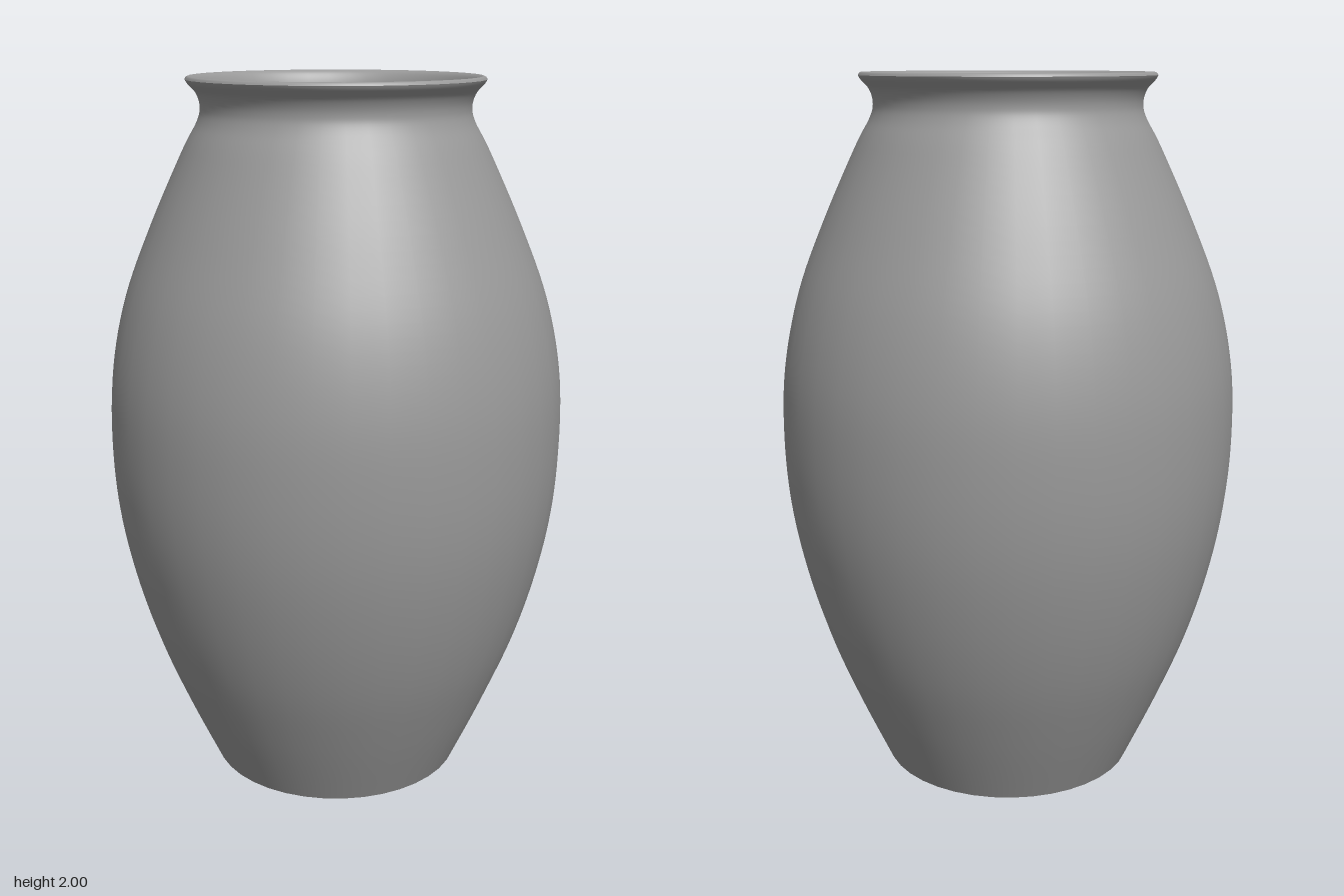
import * as THREE from 'three';

const SEGMENTS = 40;
const material = new THREE.MeshStandardMaterial({ color: 0x999999 });

// Smooth curve through [radius, height] pairs
function smooth(pairs, divisions) {
  return new THREE.SplineCurve(pairs.map(([r, y]) => new THREE.Vector2(r, y))).getPoints(divisions);
}

function turned(name, points) {
  const mesh = new THREE.Mesh(new THREE.LatheGeometry(points, SEGMENTS), material);
  mesh.name = name;
  return mesh;
}

export function createModel() {
  const vase = new THREE.Group();
  vase.name = 'vase';

  // Outer wall from foot to the edge of the flared lip
  const outer = [
    [0.365, 0], [0.455, 0.2], [0.535, 0.4], [0.594, 0.6], [0.632, 0.8], [0.645, 1], [0.635, 1.2],
    [0.592, 1.4], [0.515, 1.6], [0.423, 1.8], [0.38, 1.88], [0.371, 1.92], [0.381, 1.955],
    [0.403, 1.98], [0.41, 1.992],
  ];
  vase.add(turned('outerWall', smooth(outer, 84)));

  // Rounded lip, then the inner wall down through the neck to the floor
  const inner = [
    [0.41, 1.992], [0.405, 1.999], [0.397, 2], [0.384, 1.99], [0.373, 1.965], [0.366, 1.92],
    [0.373, 1.88], [0.415, 1.8], [0.507, 1.6], [0.583, 1.4], [0.625, 1.2], [0.635, 1],
    [0.622, 0.8], [0.585, 0.6], [0.527, 0.4], [0.447, 0.2], [0.4, 0.115], [0.34, 0.075],
    [0.26, 0.058], [0.18, 0.055],
  ];
  vase.add(turned('innerWall', [...smooth(inner, 95), new THREE.Vector2(0, 0.055)]));

  // Recessed underside and the inside of the foot ring
  const underside = new THREE.Mesh(new THREE.CircleGeometry(0.362, SEGMENTS), material);
  underside.name = 'underside';
  underside.rotation.x = Math.PI / 2;
  underside.position.y = 0.04;
  vase.add(underside);
  vase.add(turned('footRing', [
    new THREE.Vector2(0.362, 0.04), new THREE.Vector2(0.362, 0), new THREE.Vector2(0.365, 0),
  ]));

  return vase;
}
